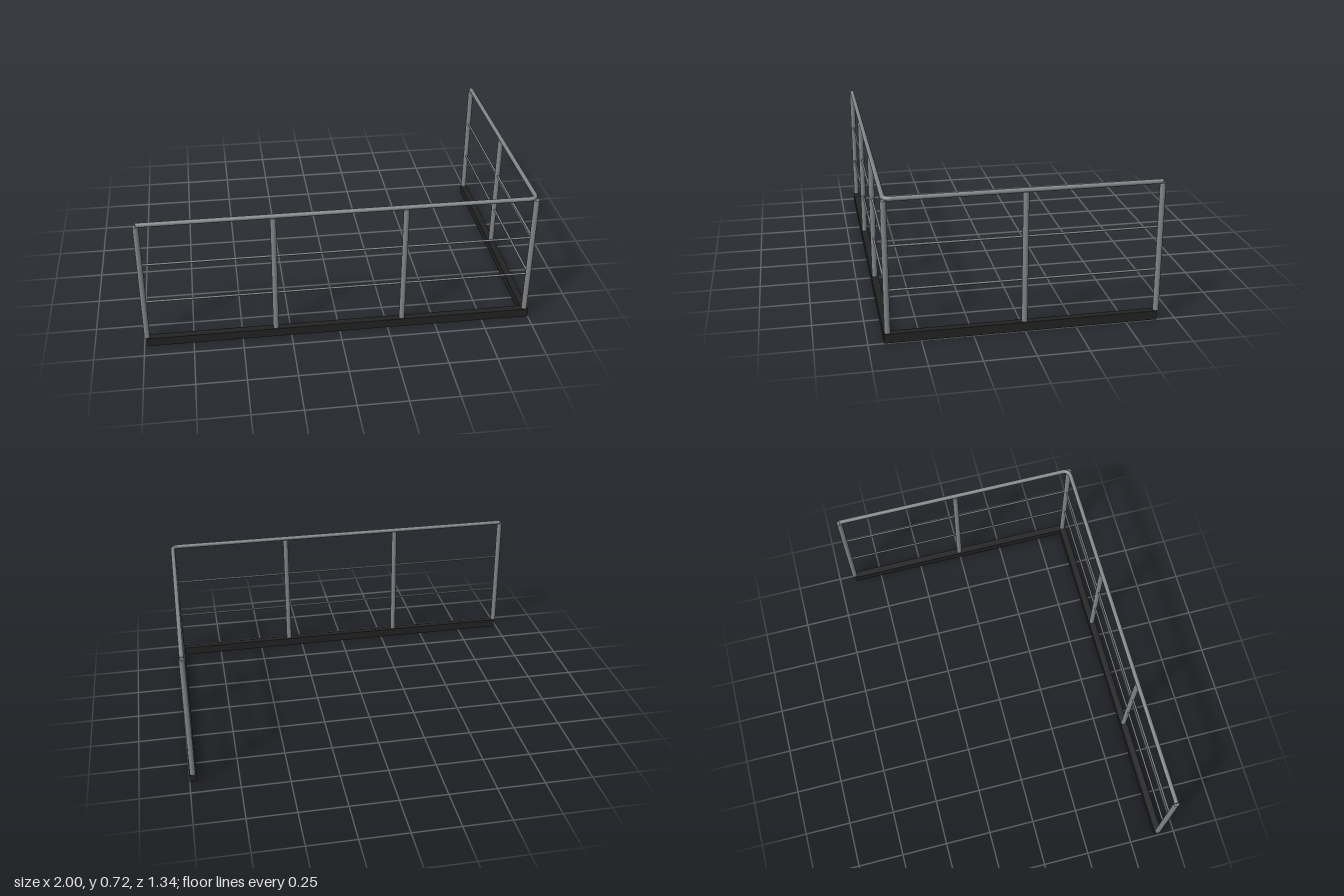
import * as THREE from 'three';

const steel = new THREE.MeshStandardMaterial({ name: 'grey steel', color: 0x808486 });
const dark = new THREE.MeshStandardMaterial({ name: 'dark base', color: 0x222222 });

// Railing plan: one long run along x, one shorter run along z, meeting at a corner
const LEFT = -0.984, CORNER_X = 0.982, CORNER_Z = 0.656, BACK = -0.656;
const BASE_H = 0.046, BASE_HALF = 0.018, POST_TOP = 0.702, POST_R = 0.0145;
const RAIL_Y = 0.709, RAIL_R = 0.0115, BEND = 0.04;

export function createModel() {
  const group = new THREE.Group();
  const add = (name, geometry, material, x = 0, y = 0, z = 0) => {
    const mesh = new THREE.Mesh(geometry, material);
    mesh.name = name;
    mesh.position.set(x, y, z);
    group.add(mesh);
    return mesh;
  };

  // L-shaped base curb (shape y becomes -z)
  const h = BASE_HALF;
  const outline = new THREE.Shape([
    [LEFT, -CORNER_Z - h], [CORNER_X + h, -CORNER_Z - h], [CORNER_X + h, -BACK],
    [CORNER_X - h, -BACK], [CORNER_X - h, -CORNER_Z + h], [LEFT, -CORNER_Z + h],
  ].map(([x, y]) => new THREE.Vector2(x, y)));
  const curb = new THREE.ExtrudeGeometry(outline, { depth: BASE_H, bevelEnabled: false });
  curb.rotateX(-Math.PI / 2);
  add('baseCurb', curb, dark);

  // Upright posts: four along the long run, two more along the side run
  const postH = POST_TOP - BASE_H;
  const postGeometry = new THREE.CylinderGeometry(POST_R, POST_R, postH, 20);
  const addPost = (x, z) => add('post', postGeometry, steel, x, BASE_H + postH / 2, z);
  for (let i = 0; i < 4; i++) addPost(LEFT + (CORNER_X - LEFT) * i / 3, CORNER_Z);
  addPost(CORNER_X, 0);
  addPost(CORNER_X, BACK);

  // Thin horizontal infill bars
  for (const y of [0.263, 0.482]) {
    const front = new THREE.CylinderGeometry(0.0055, 0.0055, CORNER_X - LEFT, 12).rotateZ(Math.PI / 2);
    add('frontInfillBar', front, steel, (LEFT + CORNER_X) / 2, y, CORNER_Z);
    const side = new THREE.CylinderGeometry(0.0055, 0.0055, CORNER_Z - BACK, 12).rotateX(Math.PI / 2);
    add('sideInfillBar', side, steel, CORNER_X, y, (CORNER_Z + BACK) / 2);
  }

  // Continuous handrail with a rounded corner
  const p = (x, z) => new THREE.Vector3(x, RAIL_Y, z);
  const startBend = p(CORNER_X - BEND, CORNER_Z), endBend = p(CORNER_X, CORNER_Z - BEND);
  const pieces = [
    ['frontHandrail', new THREE.LineCurve3(p(LEFT, CORNER_Z), startBend), 1],
    ['handrailBend', new THREE.QuadraticBezierCurve3(startBend, p(CORNER_X, CORNER_Z), endBend), 10],
    ['sideHandrail', new THREE.LineCurve3(endBend, p(CORNER_X, BACK)), 1],
  ];
  for (const [name, curve, segments] of pieces) {
    add(name, new THREE.TubeGeometry(curve, segments, RAIL_R, 16), steel);
  }

  // Flat caps on the handrail ends
  const cap = new THREE.CircleGeometry(RAIL_R, 16);
  add('handrailEndCap', cap, steel, LEFT, RAIL_Y, CORNER_Z).rotation.y = -Math.PI / 2;
  add('handrailEndCap', cap, steel, CORNER_X, RAIL_Y, BACK).rotation.y = Math.PI;

  return group;
}
